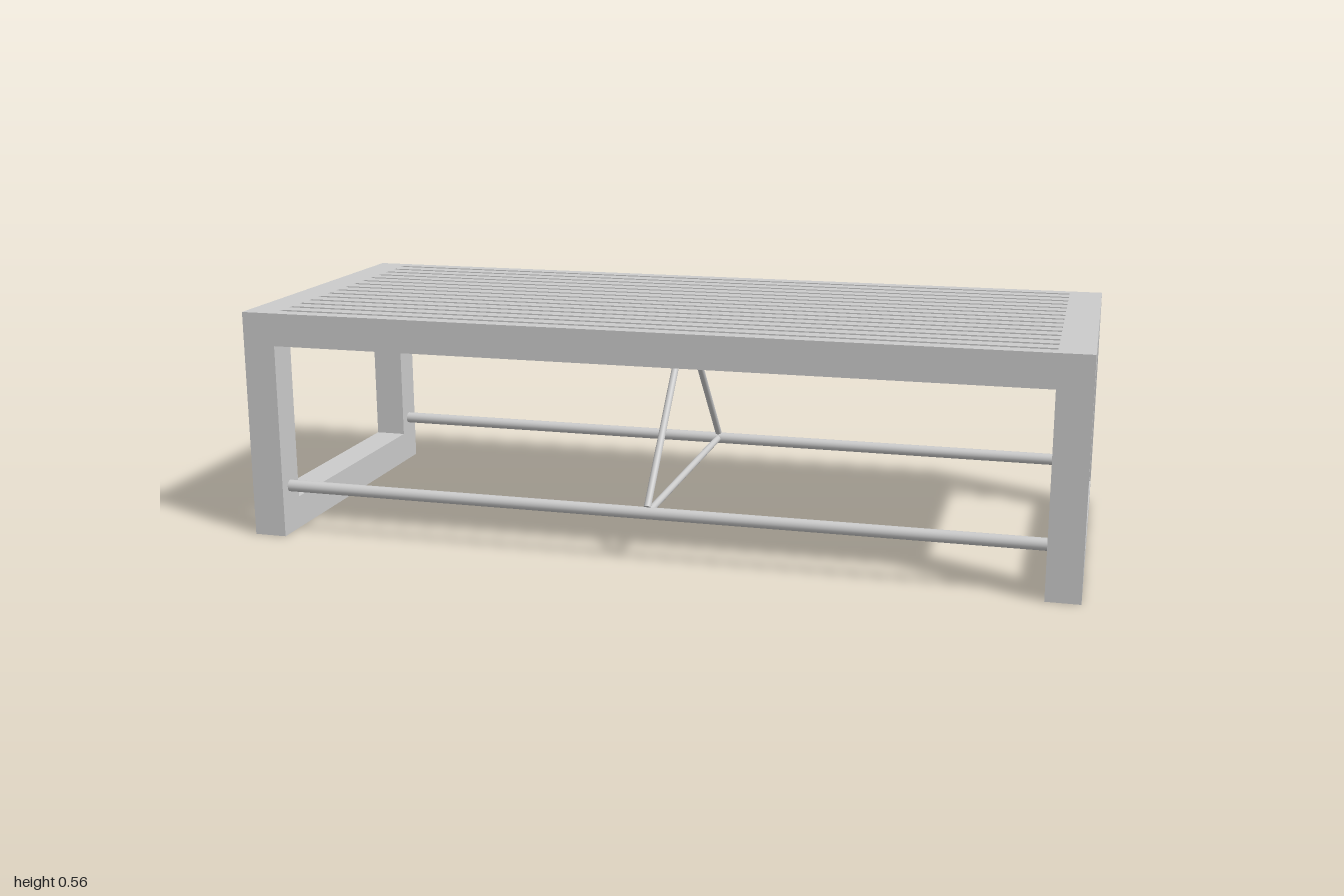
import * as THREE from 'three';

const HALF_LENGTH = 1, DEPTH = 0.8, HEIGHT = 0.56, BAR = 0.08;
const INNER = HALF_LENGTH - BAR; // inner face of the end frames
const SLATS = 16, GAP = 0.015;
const ROD_Y = 0.12, ROD_Z = 0.36;

export function createModel() {
  const group = new THREE.Group();
  group.name = 'slattedBench';
  const material = new THREE.MeshStandardMaterial({ color: 0xcccccc });

  const add = (name, geometry) => {
    const mesh = new THREE.Mesh(geometry, material);
    mesh.name = name;
    group.add(mesh);
    return mesh;
  };

  // Round bar between two points
  const rod = (name, a, b, radius) => {
    const dir = b.clone().sub(a);
    const mesh = add(name, new THREE.CylinderGeometry(radius, radius, dir.length(), 24));
    mesh.position.copy(a).add(b).multiplyScalar(0.5);
    mesh.quaternion.setFromUnitVectors(new THREE.Vector3(0, 1, 0), dir.normalize());
  };
  const v = (x, y, z) => new THREE.Vector3(x, y, z);

  // Rectangular end frames, closed at the floor
  const rect = (Type, w, y0, y1) => new Type([
    new THREE.Vector2(-w, y0), new THREE.Vector2(w, y0),
    new THREE.Vector2(w, y1), new THREE.Vector2(-w, y1),
  ]);
  const outline = rect(THREE.Shape, DEPTH / 2, 0, HEIGHT);
  outline.holes.push(rect(THREE.Path, DEPTH / 2 - BAR, BAR, HEIGHT - BAR));
  const frame = new THREE.ExtrudeGeometry(outline, { depth: BAR, bevelEnabled: false });
  frame.translate(0, 0, -BAR / 2).rotateY(Math.PI / 2);
  for (const side of [-1, 1]) {
    add(side > 0 ? 'leftEndFrame' : 'rightEndFrame', frame).position.x = side * (INNER + BAR / 2);
  }

  // Deep seat slats with narrow gaps
  const slatWidth = (DEPTH - GAP * (SLATS - 1)) / SLATS;
  const slat = new THREE.BoxGeometry(INNER * 2, BAR, slatWidth);
  for (let i = 0; i < SLATS; i++) {
    const z = -DEPTH / 2 + slatWidth / 2 + i * (slatWidth + GAP);
    add('seatSlat', slat).position.set(0, HEIGHT - BAR / 2, z);
  }

  // Long stretchers and the diagonal braces up to the seat
  for (const side of [-1, 1]) {
    const end = side > 0 ? 'front' : 'back';
    rod(end + 'Stretcher', v(-INNER, ROD_Y, side * ROD_Z), v(INNER, ROD_Y, side * ROD_Z), 0.0145);
    rod(end + 'Brace', v(0, 0.134, side * ROD_Z), v(0, 0.484, side * 0.039), 0.0085);
  }

  // Cross bar joining the stretchers
  rod('crossBar', v(0, ROD_Y, -ROD_Z), v(0, ROD_Y, ROD_Z), 0.0085);

  return group;
}
